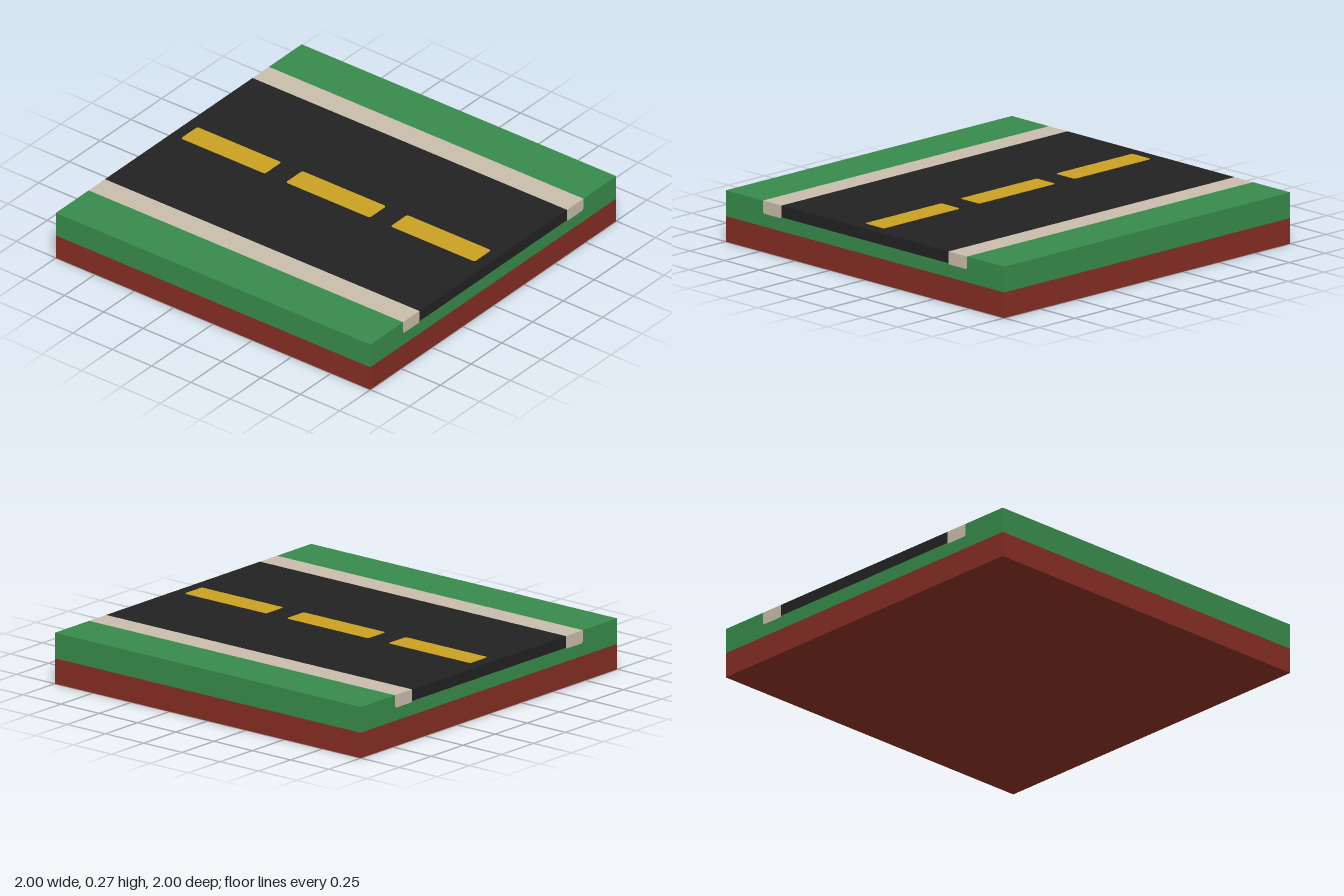
import * as THREE from 'three';

const mat = (name, color) => new THREE.MeshStandardMaterial({ name, color });

export function createModel() {
  const soilMat = mat('soil brown', 0x842d23);
  const grassMat = mat('grass green', 0x378a4b);
  const kerbMat = mat('kerb stone', 0xc9bcab);
  const roadMat = mat('asphalt', 0x222222);
  const paintMat = mat('lane yellow', 0xc9a022);

  const model = new THREE.Group();
  model.name = 'roadTile';
  const add = (name, geometry, material) => {
    const mesh = new THREE.Mesh(geometry, material);
    mesh.name = name;
    model.add(mesh);
    return mesh;
  };

  // Extrudes a (z, y) profile along the full width of the tile
  const alongX = (points) => {
    const shape = new THREE.Shape(points.map(([z, y]) => new THREE.Vector2(-z, y)));
    return new THREE.ExtrudeGeometry(shape, { depth: 2, bevelEnabled: false })
      .translate(0, 0, -1)
      .rotateY(Math.PI / 2);
  };

  const TOP = 0.267, MID = 0.133, BED = 0.2, ROAD_BED = 0.206;

  // Soil slab
  add('soil', new THREE.BoxGeometry(2, MID, 2).translate(0, MID / 2, 0), soilMat);

  // Grass layer with a channel that holds the kerbs and the road
  const half = [[1, MID], [1, TOP], [0.733, TOP], [0.733, 0.21], [0.724, BED], [0.606, BED], [0.6, ROAD_BED]];
  const mirrored = half.map(([z, y]) => [-z, y]).reverse();
  add('grass', alongX([...half, ...mirrored]), grassMat);

  // Kerbs with softened lower edges
  const kerb = [[0.733, TOP], [0.733, 0.21], [0.724, BED], [0.606, BED], [0.6, ROAD_BED], [0.6, TOP]];
  add('frontKerb', alongX(kerb), kerbMat);
  add('backKerb', alongX(kerb.map(([z, y]) => [-z, y])), kerbMat);

  // Road surface
  const roadHeight = TOP - ROAD_BED;
  add('road', new THREE.BoxGeometry(2, roadHeight, 1.2).translate(0, ROAD_BED + roadHeight / 2, 0), roadMat);

  // Painted centre dashes with rounded corners
  const w = 0.267, d = 0.067, r = 0.012;
  const dash = new THREE.Shape();
  dash.absarc(w - r, d - r, r, 0, Math.PI / 2);
  dash.absarc(-w + r, d - r, r, Math.PI / 2, Math.PI);
  dash.absarc(-w + r, -d + r, r, Math.PI, Math.PI * 1.5);
  dash.absarc(w - r, -d + r, r, Math.PI * 1.5, Math.PI * 2);
  const dashGeometry = new THREE.ExtrudeGeometry(dash, { depth: 0.002, bevelEnabled: false, curveSegments: 4 })
    .rotateX(-Math.PI / 2);
  [-0.667, 0, 0.667].forEach((x, i) => {
    add(`laneDash${i + 1}`, dashGeometry, paintMat).position.set(x, TOP, 0);
  });

  return model;
}
